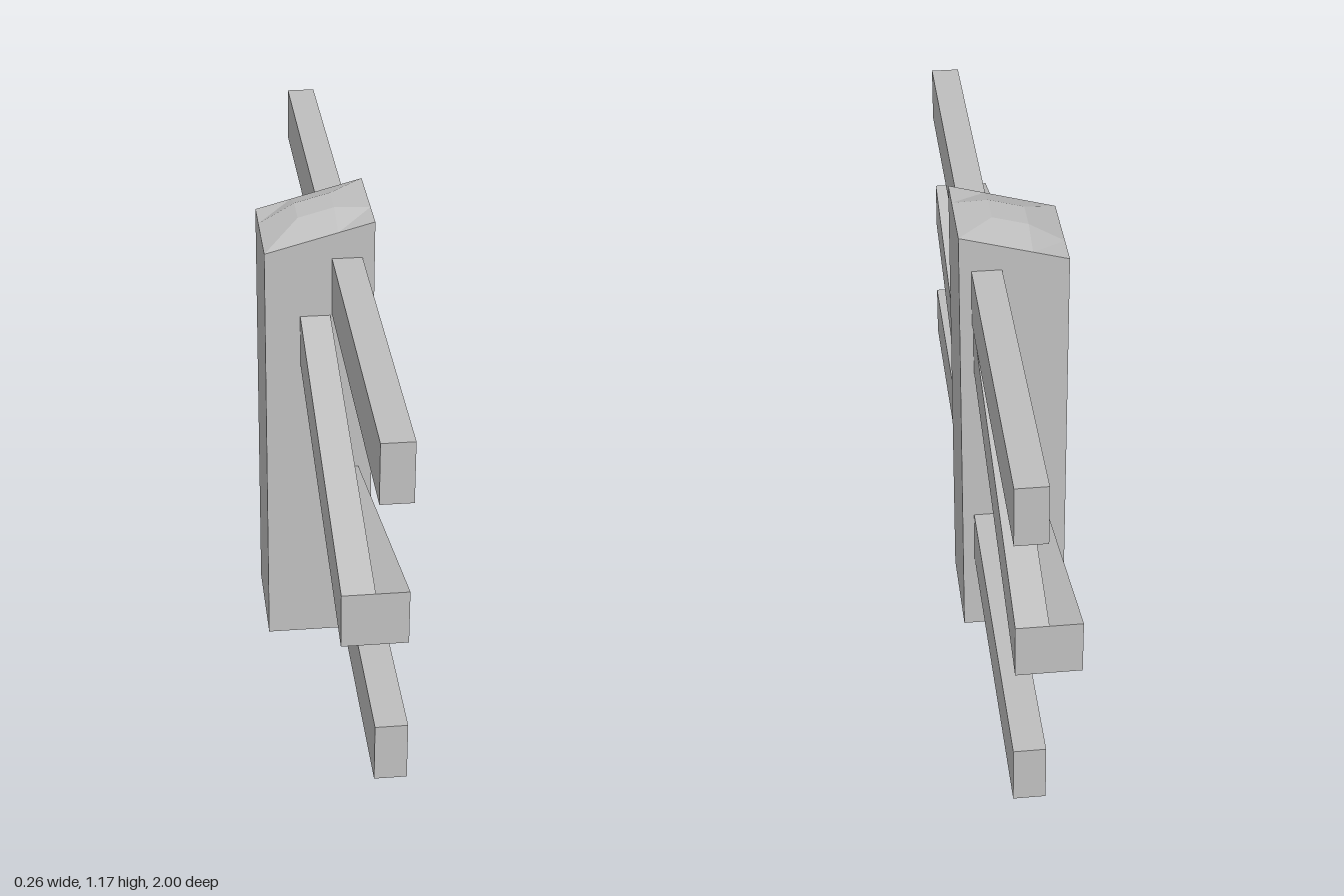
import * as THREE from 'three';

export function createModel() {
  const group = new THREE.Group();
  const grey = new THREE.MeshStandardMaterial({ color: 0xbfbfbf, flatShading: true });
  grey.name = 'plain grey';

  const add = (name, geometry) => {
    const mesh = new THREE.Mesh(geometry, grey);
    mesh.name = name;
    group.add(mesh);
    return mesh;
  };

  // Post: square box whose slanted top bulges into a faceted dome
  const half = 0.132;
  const postGeo = new THREE.BoxGeometry(2 * half, 1, 2 * half, 3, 1, 3);
  const pos = postGeo.attributes.position;
  for (let i = 0; i < pos.count; i++) {
    const x = pos.getX(i), z = pos.getZ(i);
    if (pos.getY(i) < 0) {
      pos.setY(i, 0);
      continue;
    }
    const inner = Math.abs(x) < 0.1 && Math.abs(z) < 0.1;
    pos.setY(i, 1.13 + 0.27 * x + (inner ? 0.027 : 0));
  }
  postGeo.computeVertexNormals();
  add('post', postGeo);

  // Horizontal rails through the post
  const rail = (name, y0, y1) =>
    add(name, new THREE.BoxGeometry(0.073, y1 - y0, 2)).position.set(0.066, (y0 + y1) / 2, 0);
  rail('topRail', 0.93, 1.075);
  rail('bottomRail', 0.214, 0.357);

  // Diagonal braces with upright end cuts, meeting side by side at each end
  const brace = (name, side, bottomAtPost, bottomAtEnd, x0, x1) => {
    const inner = 0.1, height = 0.13;
    const slope = (bottomAtEnd - bottomAtPost) / (1 - 0.132);
    const geo = new THREE.BoxGeometry(x1 - x0, height, 1 - inner);
    geo.translate((x0 + x1) / 2, height / 2, side * (1 + inner) / 2);
    const p = geo.attributes.position;
    for (let i = 0; i < p.count; i++) {
      p.setY(i, p.getY(i) + bottomAtEnd - slope * (1 - Math.abs(p.getZ(i))));
    }
    geo.computeVertexNormals();
    add(name, geo);
  };
  const rightSide = [-0.047, 0.026], leftSide = [0.026, 0.099];
  brace('frontUpperBrace', 1, 0.795, 0.58, ...rightSide);
  brace('frontLowerBrace', 1, 0.365, 0.58, ...leftSide);
  brace('backUpperBrace', -1, 0.795, 0.58, ...leftSide);
  brace('backLowerBrace', -1, 0.365, 0.58, ...rightSide);

  return group;
}
